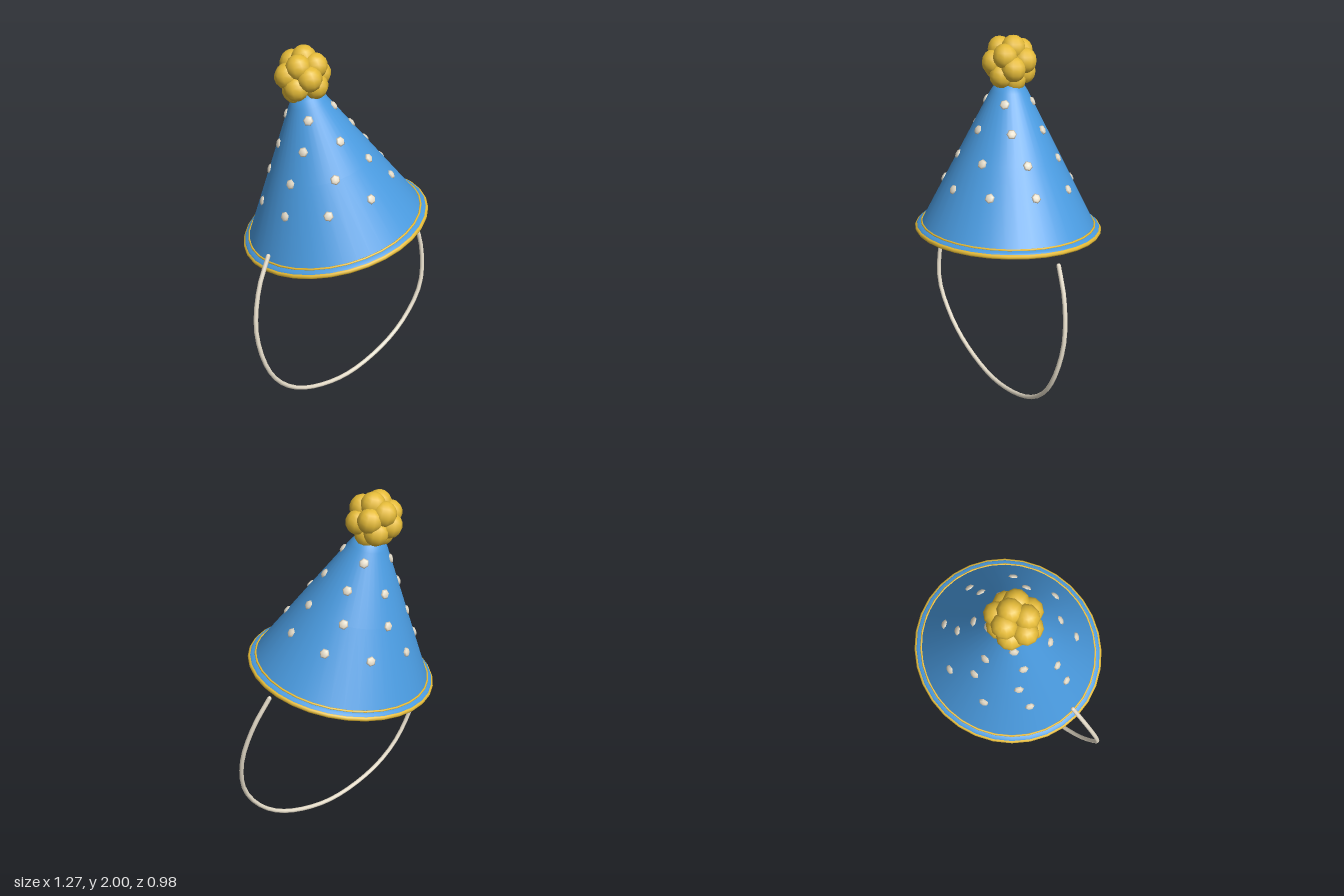
import * as THREE from 'three';

const mat = (color, side = THREE.FrontSide) => new THREE.MeshStandardMaterial({ color, side });

export function createModel() {
  const model = new THREE.Group();
  const blue = mat(0x4a9be0, THREE.DoubleSide);
  const gold = mat(0xe5bb38);
  const cream = mat(0xe6ddca);

  const add = (parent, name, geometry, material) => {
    const mesh = new THREE.Mesh(geometry, material);
    mesh.name = name;
    parent.add(mesh);
    return mesh;
  };

  // Tilted hat: local y runs along the cone axis
  const hat = new THREE.Group();
  hat.name = 'hat';
  hat.position.set(0, 0.985, 0);
  const up = new THREE.Vector3(0, 1, 0);
  hat.quaternion.setFromUnitVectors(up, new THREE.Vector3(-0.155, 1, -0.113).normalize());
  hat.scale.z = 0.96;
  model.add(hat);

  // Cone with a rounded tip
  const coneRadius = (t) => 0.475 - (t - 0.025) * 0.525;
  const profile = [[0.475, 0.025], [coneRadius(0.4), 0.4], [coneRadius(0.74), 0.74], [0.075, 0.775], [0.04, 0.795], [0, 0.8]];
  add(hat, 'cone', new THREE.LatheGeometry(profile.map(([r, y]) => new THREE.Vector2(r, y)), 40), blue);

  // Narrow turned-out lip, edged in gold
  const lip = [[0.505, 0.008], [0.497, 0.02], [0.474, 0.027]];
  add(hat, 'lip', new THREE.LatheGeometry(lip.map(([r, y]) => new THREE.Vector2(r, y)), 32), blue);
  const ring = (name, radius, tube, y) => {
    const mesh = add(hat, name, new THREE.TorusGeometry(radius, tube, 8, 32), gold);
    mesh.rotation.x = Math.PI / 2;
    mesh.position.y = y;
    return mesh;
  };
  ring('rimTrim', 0.497, 0.017, 0).scale.z = 0.8;
  ring('innerTrim', 0.476, 0.006, 0.027);

  // Rings of flattened dots: height, count, first angle as a fraction of a step
  const dotGeometry = new THREE.SphereGeometry(0.027, 6, 4).scale(1, 0.45, 1);
  const dots = new THREE.Group();
  dots.name = 'dots';
  hat.add(dots);
  for (const [t, count, offset] of [[0.255, 9, 0], [0.405, 7, 0.5], [0.553, 6, 0], [0.69, 4, 0.5]]) {
    for (let i = 0; i < count; i++) {
      const a = ((i + offset) / count) * Math.PI * 2;
      const r = coneRadius(t);
      const dot = add(dots, 'dot', dotGeometry, cream);
      dot.position.set(Math.sin(a) * r, t, Math.cos(a) * r);
      dot.quaternion.setFromUnitVectors(up, new THREE.Vector3(Math.sin(a), 0.525, Math.cos(a)).normalize());
    }
  }

  // Pompom of round tufts spread evenly over a ball
  const pompom = new THREE.Group();
  pompom.name = 'pompom';
  pompom.position.y = 0.885;
  hat.add(pompom);
  const tuft = new THREE.SphereGeometry(0.066, 10, 8);
  const count = 14;
  for (let i = 0; i < count; i++) {
    const y = 1 - (2 * (i + 0.5)) / count;
    const a = i * Math.PI * (3 - Math.sqrt(5));
    const r = Math.sqrt(1 - y * y);
    add(pompom, 'tuft', tuft, gold).position.set(Math.cos(a) * r, y, Math.sin(a) * r).multiplyScalar(0.088);
  }
  add(pompom, 'core', new THREE.SphereGeometry(0.09, 12, 8), gold);

  // Chin strap: half a path mirrored across x
  const half = [[0.475, 0.975, 0], [0.565, 0.82, 0.024], [0.623, 0.6, 0.062], [0.59, 0.37, 0.1], [0.48, 0.2, 0.103], [0.305, 0.08, 0.103]];
  const path = [
    ...half.map(([x, y, z]) => new THREE.Vector3(-x, y, z)),
    new THREE.Vector3(0, 0.013, 0.103),
    ...half.slice().reverse().map(([x, y, z]) => new THREE.Vector3(x, y, z)),
  ];
  add(model, 'strap', new THREE.TubeGeometry(new THREE.CatmullRomCurve3(path), 40, 0.012, 8), cream);
  for (const s of [-1, 1]) {
    add(model, 'strapEnd', new THREE.SphereGeometry(0.012, 8, 6), cream).position.set(s * 0.475, 0.975, 0);
  }

  return model;
}
